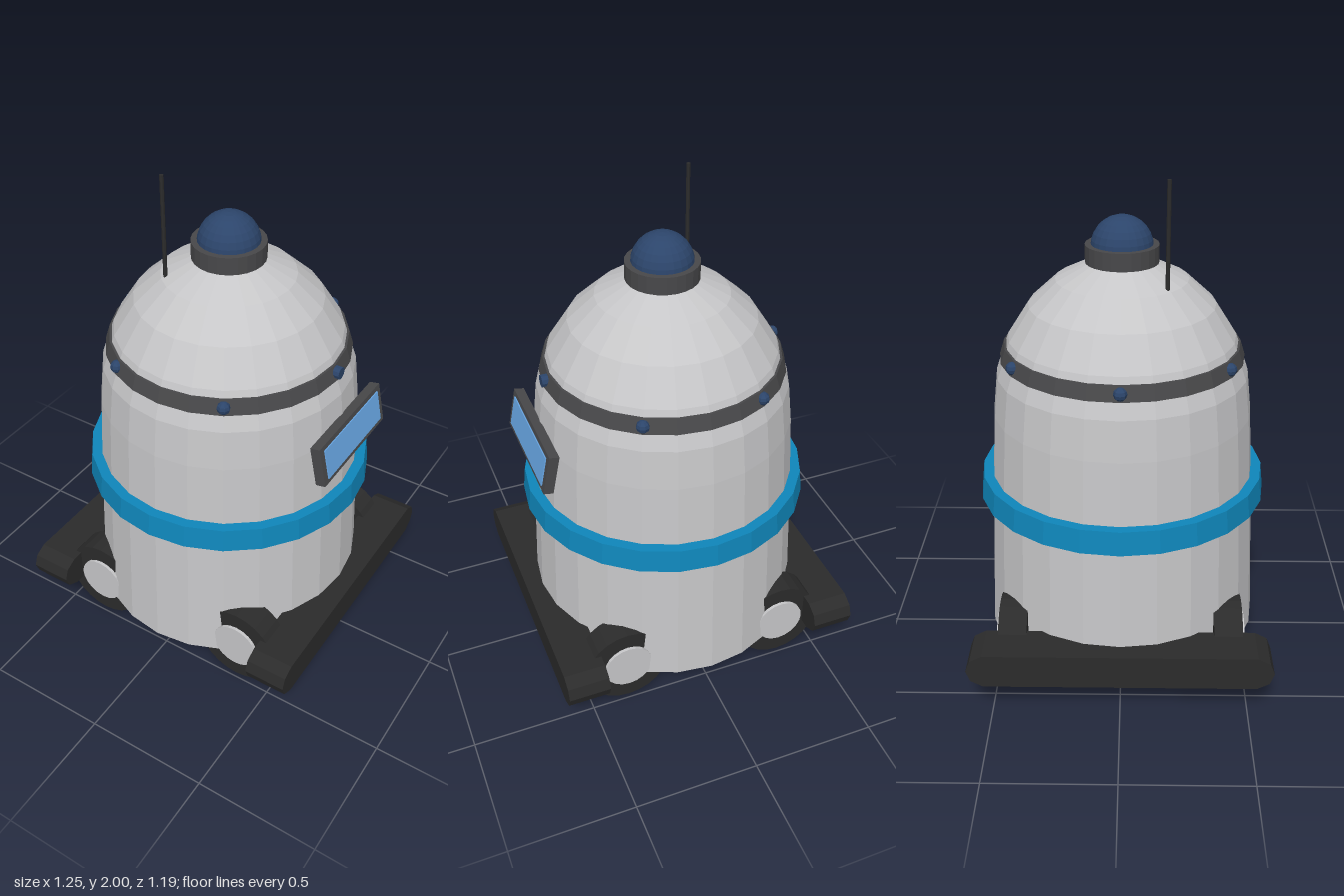
import * as THREE from 'three';

function mat(name, color) {
  const m = new THREE.MeshStandardMaterial({ color, flatShading: true });
  m.name = name;
  return m;
}

export function createModel() {
  const shell = mat('light grey shell', 0xc6c6c8);
  const trim = mat('dark grey trim', 0x48484a);
  const rubber = mat('black rubber', 0x2b2b2b);
  const blue = mat('bright blue', 0x0f86ba);
  const navy = mat('navy glass', 0x2c456b);
  const screenBlue = mat('screen blue', 0x69a8e6);

  const model = new THREE.Group();
  model.name = 'robot';
  const SIDES = 24;

  function add(name, geometry, material, x = 0, y = 0, z = 0, parent = model) {
    const mesh = new THREE.Mesh(geometry, material);
    mesh.name = name;
    mesh.position.set(x, y, z);
    parent.add(mesh);
    return mesh;
  }
  const lathe = pts => new THREE.LatheGeometry(pts.map(p => new THREE.Vector2(p[0], p[1])), SIDES);

  // Tapered body with a flat floor, closed by an elliptical dome
  const profile = [[0, 0.11], [0.56, 0.11], [0.535, 0.7]];
  for (let i = 0; i <= 6; i++) {
    const a = (i * Math.PI) / 12;
    profile.push([0.515 * Math.cos(a), 1.05 + 0.62 * Math.sin(a)]);
  }
  add('body', lathe(profile), shell);

  // Bands around the body
  add('waistRing', lathe([[0.5, 0.7], [0.58, 0.7], [0.57, 0.795], [0.5, 0.795]]), blue);
  add('domeBand', lathe([[0.44, 1.275], [0.482, 1.275], [0.464, 1.333], [0.43, 1.333]]), trim);

  // Six studs on the dome band; the left one is a short plug
  for (let i = 0; i < 6; i++) {
    const a = (i * Math.PI) / 3;
    const geo = i === 0
      ? new THREE.CylinderGeometry(0.025, 0.025, 0.04, 10).rotateZ(Math.PI / 2)
      : new THREE.SphereGeometry(0.026, 8, 6);
    add('stud', geo, navy, 0.471 * Math.cos(a), 1.304, 0.471 * Math.sin(a));
  }

  // Top collar, lens and antenna
  add('collar', new THREE.CylinderGeometry(0.142, 0.142, 0.07, SIDES), trim, 0, 1.685, 0);
  add('lens', new THREE.SphereGeometry(0.12, 24, 14), navy, 0, 1.71, 0);
  add('antenna', new THREE.CylinderGeometry(0.008, 0.008, 0.42, 8), rubber, -0.17, 1.79, 0.17);

  // Tilted display on the left side
  const display = new THREE.Group();
  display.name = 'display';
  display.position.set(0.539, 1.043, 0);
  display.rotation.z = 0.2;
  model.add(display);
  add('displayFrame', new THREE.BoxGeometry(0.04, 0.165, 0.485), trim, 0, 0, 0, display);
  add('displayScreen', new THREE.BoxGeometry(0.008, 0.125, 0.43), screenBlue, 0.021, 0, 0, display);

  // Wheels with protruding hubs at the four corners
  const tyreGeo = new THREE.CylinderGeometry(0.173, 0.173, 0.113, 24).rotateX(Math.PI / 2);
  const hubGeo = new THREE.CylinderGeometry(0.1, 0.1, 0.12, 20).rotateX(Math.PI / 2);
  for (const sx of [-1, 1]) {
    for (const sz of [-1, 1]) {
      add('tyre', tyreGeo, rubber, sx * 0.34, 0.173, sz * 0.426);
      add('hub', hubGeo, shell, sx * 0.34, 0.178, sz * 0.435);
    }
  }

  // Side runners with blunt chamfered ends, drawn in the z-y plane
  const half = [[0.53, -0.07], [0.578, -0.045], [0.595, 0], [0.578, 0.045], [0.53, 0.07]];
  const outline = [...half, ...half.map(([u, v]) => [-u, -v])];
  const runnerShape = new THREE.Shape(outline.map(p => new THREE.Vector2(p[0], p[1])));
  const runnerGeo = new THREE.ExtrudeGeometry(runnerShape, { depth: 0.17, bevelEnabled: false });
  runnerGeo.translate(0, 0, -0.085).rotateY(Math.PI / 2);
  for (const sx of [-1, 1]) add('runner', runnerGeo, rubber, sx * 0.538, 0.202, 0);

  return model;
}
